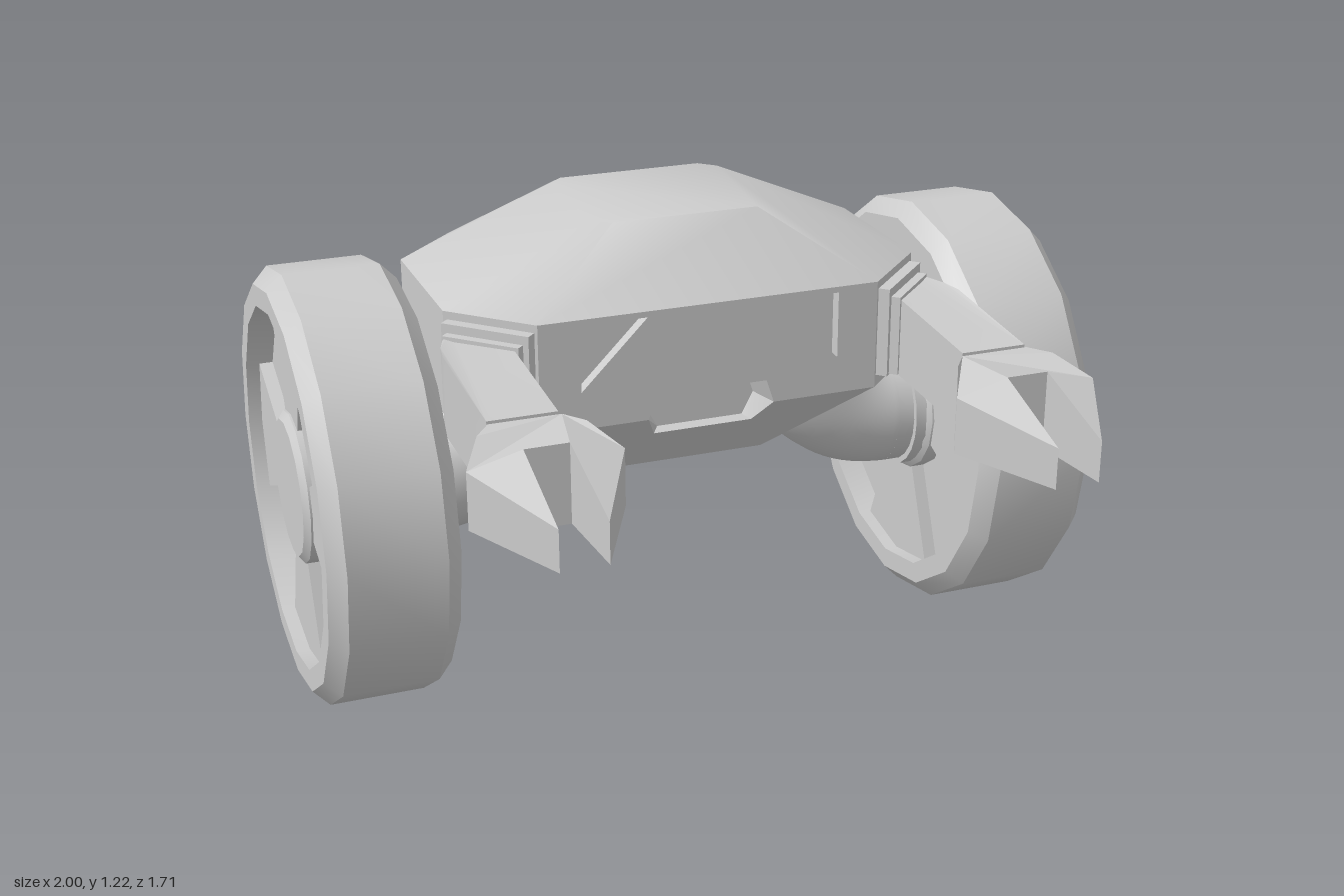
import * as THREE from 'three';
import { toCreasedNormals } from 'three/addons/utils/BufferGeometryUtils.js';

const material = new THREE.MeshStandardMaterial({ color: 0xcccccc });
const AXLE_Y = 0.56, AXLE_Z = -0.3;

function add(group, name, geometry, crease = 0.5) {
  const g = geometry.index ? geometry.toNonIndexed() : geometry;
  const mesh = new THREE.Mesh(toCreasedNormals(g, crease), material);
  mesh.name = name;
  group.add(mesh);
}

// Mirrors a geometry in x and flips its triangles so they still face outwards
function mirrored(geometry) {
  const g = geometry.index ? geometry.toNonIndexed() : geometry.clone();
  const p = g.attributes.position, a = new THREE.Vector3(), b = new THREE.Vector3();
  g.scale(-1, 1, 1);
  for (let i = 0; i < p.count; i += 3) {
    a.fromBufferAttribute(p, i + 1);
    b.fromBufferAttribute(p, i + 2);
    p.setXYZ(i + 1, b.x, b.y, b.z);
    p.setXYZ(i + 2, a.x, a.y, a.z);
  }
  return g;
}

function addPair(group, name, geometry, crease) {
  add(group, 'left' + name, geometry, crease);
  add(group, 'right' + name, mirrored(geometry), crease);
}

const shapeOf = pts => new THREE.Shape(pts.map(([x, y]) => new THREE.Vector2(x, y)));

function fromQuads(quads) {
  const pos = [];
  for (const [a, b, c, d] of quads) {
    pos.push(...a, ...b, ...c);
    if (d) pos.push(...a, ...c, ...d);
  }
  const g = new THREE.BufferGeometry();
  g.setAttribute('position', new THREE.Float32BufferAttribute(pos, 3));
  return g;
}

// Outline given in x and z, with heights set by top and bottom rules
function slab(pts, top, bottom) {
  const g = new THREE.ExtrudeGeometry(shapeOf(pts.map(([x, z]) => [x, -z])), { depth: 1, bevelEnabled: false });
  g.rotateX(-Math.PI / 2);
  const p = g.attributes.position;
  for (let i = 0; i < p.count; i++) {
    const x = p.getX(i), z = p.getZ(i);
    p.setY(i, p.getY(i) > 0.5 ? top(x, z) : bottom(x, z));
  }
  return g;
}

// Flat panel whose depth follows a rule of y
function panel(shape, zOf) {
  const g = new THREE.ShapeGeometry(shape), p = g.attributes.position;
  for (let i = 0; i < p.count; i++) p.setZ(i, zOf(p.getY(i)));
  return g;
}

// Walls and floor of a pocket; outline runs counter-clockwise from the front
function pocket(pts, zOf, floorZ, scale) {
  const n = pts.length;
  const cx = pts.reduce((s, p) => s + p[0], 0) / n, cy = pts.reduce((s, p) => s + p[1], 0) / n;
  const outer = pts.map(([x, y]) => [x, y, zOf(y)]);
  const inner = pts.map(([x, y]) => [cx + (x - cx) * scale, cy + (y - cy) * scale, floorZ]);
  const quads = [];
  for (let i = 0; i < n; i++) {
    const j = (i + 1) % n;
    quads.push([outer[i], outer[j], inner[j], inner[i]]);
    if (i > 0 && i < n - 1) quads.push([inner[0], inner[i], inner[i + 1]]);
  }
  return fromQuads(quads);
}

function ring(y, hx, z0, z1, c) {
  const half = [[hx - c, z1], [hx, z1 - c], [hx, z0 + c], [hx - c, z0]];
  return [...half, ...half.slice().reverse().map(([x, z]) => [-x, z])].map(([x, z]) => [x, y, z]);
}

function buildBody(group) {
  // Faceted hull, leaving the front open for the panels
  const rings = [ring(0.57, 0.23, -0.5, -0.105, 0.02), ring(0.77, 0.62, -0.69, 0.085, 0.18),
    ring(1.05, 0.62, -0.69, 0.085, 0.18), ring(1.22, 0.23, -0.51, -0.095, 0.04)];
  const quads = [];
  for (let k = 0; k < 3; k++) {
    for (let i = 0; i < 8; i++) {
      const j = (i + 1) % 8;
      if (i === 7 && k < 2) continue;
      quads.push([rings[k][i], rings[k][j], rings[k + 1][j], rings[k + 1][i]]);
    }
  }
  for (let i = 1; i < 7; i++) {
    quads.push([rings[0][0], rings[0][i + 1], rings[0][i]]);
    quads.push([rings[3][0], rings[3][i], rings[3][i + 1]]);
  }
  add(group, 'hull', fromQuads(quads), 0.68);

  // Front panels with triangular eyes and a hexagonal mouth across the fold
  const flat = () => 0.085;
  const frontZ = y => (y >= 0.77 ? 0.085 : 0.085 - 0.95 * (0.77 - y));
  const eye = [[0.335, 0.865], [0.335, 1.035], [0.165, 1.035]];
  const otherEye = eye.map(([x, y]) => [-x, y]).reverse();
  const upper = shapeOf([[-0.44, 0.77], [-0.165, 0.77], [-0.145, 0.83], [0.145, 0.83],
    [0.165, 0.77], [0.44, 0.77], [0.44, 1.05], [-0.44, 1.05]]);
  upper.holes.push(shapeOf(eye), shapeOf(otherEye));
  const lower = shapeOf([[-0.21, 0.57], [0.21, 0.57], [0.44, 0.77], [0.165, 0.77],
    [0.13, 0.705], [-0.13, 0.705], [-0.165, 0.77], [-0.44, 0.77]]);
  add(group, 'upperFrontPanel', panel(upper, flat));
  add(group, 'lowerFrontPanel', panel(lower, frontZ));
  addPair(group, 'Eye', pocket(eye, flat, 0.055, 0.98));
  const mouth = [[-0.13, 0.705], [0.13, 0.705], [0.165, 0.77], [0.145, 0.83], [-0.145, 0.83], [-0.165, 0.77]];
  add(group, 'mouth', pocket(mouth, frontZ, 0.0, 0.87));
}

function buildWheels(group) {
  const place = g => g.rotateZ(-Math.PI / 2).translate(0.84, AXLE_Y, AXLE_Z);
  const lathe = pts => place(new THREE.LatheGeometry(pts.map(([r, y]) => new THREE.Vector2(r, y)), 16));
  // Chamfered tyre
  addPair(group, 'Tyre', lathe([[0.46, -0.16], [0.515, -0.16], [0.556, -0.12], [0.556, 0.12],
    [0.515, 0.16], [0.46, 0.16], [0.46, -0.16]]));
  // Thin disc and round hub with a bevelled lip
  addPair(group, 'WheelDisc', place(new THREE.CylinderGeometry(0.47, 0.47, 0.18, 16)));
  addPair(group, 'Hub', lathe([[0, -0.145], [0.175, -0.145], [0.195, -0.13], [0.195, 0.13], [0.175, 0.145], [0, 0.145]]));
  // Four raised wedges on the disc
  for (let k = 0; k < 4; k++) {
    const at = (r, s) => {
      const a = k * Math.PI / 2 + s * Math.PI / 8;
      return [r * Math.cos(a), r * Math.sin(a)];
    };
    const wedge = new THREE.ExtrudeGeometry(
      shapeOf([at(0.18, -1), at(0.465, -1), at(0.465, 0), at(0.465, 1), at(0.18, 1), at(0.18, 0)]),
      { depth: 0.25, bevelEnabled: false });
    wedge.translate(0, 0, -0.125).rotateY(Math.PI / 2).translate(0.84, AXLE_Y, AXLE_Z);
    addPair(group, 'WheelWedge' + (k + 1), wedge, 0.3);
  }
}

function buildAxles(group) {
  const bend = Math.PI * 58 / 180;
  const elbow = new THREE.TorusGeometry(0.24, 0.165, 24, 14, bend);
  elbow.rotateZ(-Math.PI / 2 - bend).translate(0.63, 0.8, AXLE_Z);
  addPair(group, 'AxleElbow', elbow);
  const stub = (r, len, x) => new THREE.CylinderGeometry(r, r, len, 24)
    .rotateZ(Math.PI / 2).translate(x, AXLE_Y, AXLE_Z);
  addPair(group, 'AxleStub', stub(0.165, 0.1, 0.675));
  addPair(group, 'AxleFlange', stub(0.18, 0.04, 0.69));
  const collar = new THREE.CylinderGeometry(0.18, 0.18, 0.04, 24);
  addPair(group, 'AxleCollar', collar.rotateZ(0.55).translate(0.43, 0.668, AXLE_Z));
}

function buildArms(group) {
  // Square socket on the hull's front corner
  const socket = (w, h, d, y, out) => new THREE.BoxGeometry(w, h, d)
    .rotateY(Math.PI / 4).translate(0.53 + out, y, -0.003 + out);
  addPair(group, 'ShoulderSocket', socket(0.235, 0.23, 0.05, 0.915, 0.002));
  addPair(group, 'ShoulderSleeve', socket(0.205, 0.205, 0.06, 0.905, 0.015));
  // Bent forearm
  const slide = z => Math.max(0, (z - 0.08) / 0.35);
  addPair(group, 'Arm', slab(
    [[0.46, 0.05], [0.61, -0.08], [0.64, -0.03], [0.658, 0.02], [0.668, 0.08], [0.665, 0.43], [0.5, 0.43], [0.5, 0.09]],
    (x, z) => 1.0 - 0.025 * slide(z), (x, z) => 0.8 - 0.015 * slide(z)), 0.3);
  addPair(group, 'Wrist', new THREE.BoxGeometry(0.145, 0.17, 0.04).translate(0.5815, 0.88, 0.437));
  // Two-pronged claw, thinner at its outer edges and tips
  const half = [[0.085, 0.44], [0.125, 0.495], [0.178, 0.595], [0.055, 0.85], [0.052, 0.6]];
  const outline = [...half, ...half.slice().reverse().map(([x, z]) => [-x, z])].map(([x, z]) => [x + 0.58, z]);
  const outer = x => Math.max(0, (Math.abs(x - 0.58) - 0.125) / 0.053);
  const tip = z => Math.max(0, (z - 0.6) / 0.25);
  addPair(group, 'Claw', slab(outline,
    (x, z) => 0.972 - 0.035 * outer(x) - 0.077 * tip(z),
    (x, z) => 0.78 + 0.02 * outer(x) + 0.015 * tip(z)), 0.1);
}

export function createModel() {
  const model = new THREE.Group();
  model.name = 'rover';
  for (const [name, build] of [['body', buildBody], ['wheels', buildWheels], ['axles', buildAxles], ['arms', buildArms]]) {
    const part = new THREE.Group();
    part.name = name;
    build(part);
    model.add(part);
  }
  return model;
}
